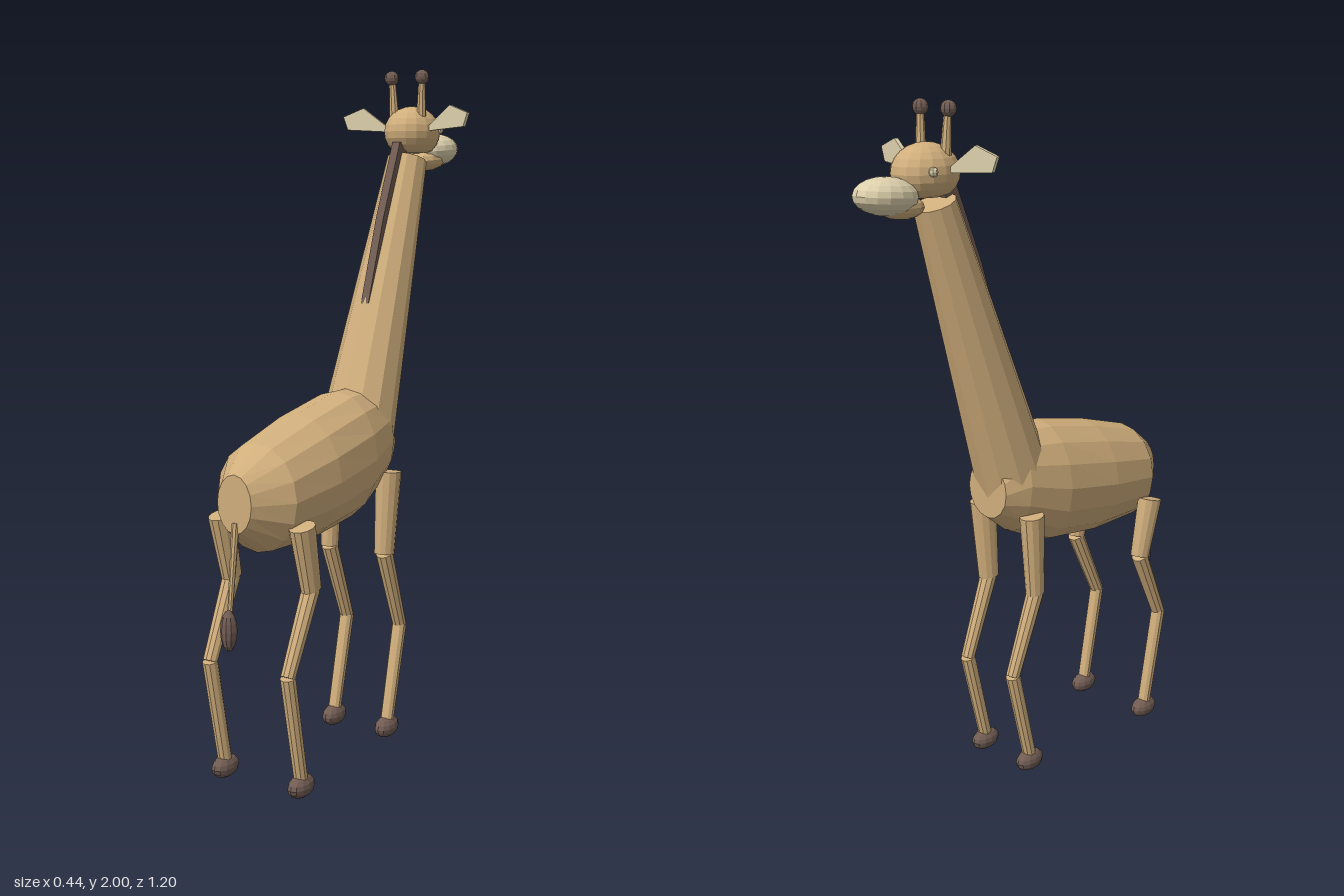
import * as THREE from 'three';

const paint = (name, color) => {
  const m = new THREE.MeshStandardMaterial({ color, flatShading: true });
  m.name = name;
  return m;
};
const V = (x, y, z) => new THREE.Vector3(x, y, z);

export function createModel() {
  const model = new THREE.Group();
  model.name = 'giraffe';
  const tan = paint('tan coat', 0xd0ae7c);
  const cream = paint('cream', 0xddd0ac);
  const dark = paint('dark brown', 0x715c53);

  const add = (parent, name, geometry, material) => {
    const mesh = new THREE.Mesh(geometry, material);
    mesh.name = name;
    parent.add(mesh);
    return mesh;
  };

  // Tapered round bar from a to b
  const bar = (parent, name, a, b, ra, rb, material, sides = 10, squash = 1) => {
    const dir = b.clone().sub(a);
    const geo = new THREE.CylinderGeometry(rb, ra, dir.length(), sides);
    geo.scale(squash, 1, 1);
    const mesh = add(parent, name, geo, material);
    mesh.position.copy(a).add(b).multiplyScalar(0.5);
    mesh.quaternion.setFromUnitVectors(V(0, 1, 0), dir.normalize());
    return mesh;
  };

  const ellipsoid = (parent, name, p, rx, ry, rz, material, w = 16, h = 10) => {
    const mesh = add(parent, name, new THREE.SphereGeometry(1, w, h).scale(rx, ry, rz), material);
    mesh.position.copy(p);
    return mesh;
  };

  // Torso rings, rump to chest: z, bottom y, top y, half width
  const rings = [
    [0.55, 0.74, 0.9, 0.056],
    [0.45, 0.67, 0.97, 0.132],
    [0.26, 0.668, 1.025, 0.15],
    [0.06, 0.69, 1.067, 0.142],
    [-0.08, 0.755, 1.07, 0.112],
    [-0.15, 0.81, 0.98, 0.075],
  ];
  const torso = new THREE.CylinderGeometry(1, 1, 1, 16, rings.length - 1);
  const tp = torso.attributes.position;
  for (let i = 0; i < tp.count; i++) {
    const [z, lo, hi, w] = rings[Math.round((0.5 - tp.getY(i)) * (rings.length - 1))];
    tp.setXYZ(i, tp.getX(i) * w, (lo + hi) / 2 - tp.getZ(i) * (hi - lo) / 2, z);
  }
  torso.computeVertexNormals();
  add(model, 'torso', torso, tan);

  // Neck
  bar(model, 'neck', V(0, 0.87, -0.03), V(0, 1.735, -0.338), 0.115, 0.06, tan, 12);

  // Mane: thin blade along the back of the neck
  const blade = new THREE.Shape([
    [-0.094, 1.31], [-0.178, 1.56], [-0.272, 1.785], [-0.32, 1.78], [-0.14, 1.31],
  ].map(([z, y]) => new THREE.Vector2(z, y)));
  const mane = new THREE.ExtrudeGeometry(blade, { depth: 0.026, bevelEnabled: false });
  mane.translate(0, 0, -0.013).rotateY(-Math.PI / 2);
  add(model, 'mane', mane, dark);

  // Head with a flattened underside
  const skull = new THREE.SphereGeometry(1, 16, 12).scale(0.08, 0.078, 0.102);
  const sp = skull.attributes.position;
  for (let i = 0; i < sp.count; i++) sp.setY(i, Math.max(sp.getY(i), -0.062));
  skull.computeVertexNormals();
  add(model, 'head', skull, tan).position.set(0, 1.817, -0.368);
  ellipsoid(model, 'muzzle', V(0, 1.767, -0.505), 0.067, 0.05, 0.098, cream).rotation.x = 0.08;
  ellipsoid(model, 'jaw', V(0, 1.737, -0.46), 0.05, 0.034, 0.075, tan, 12, 8).rotation.x = 0.1;

  // Tail and tuft
  bar(model, 'tail', V(0, 0.77, 0.545), V(0, 0.52, 0.575), 0.011, 0.007, tan, 8);
  ellipsoid(model, 'tailTuft', V(0, 0.485, 0.58), 0.023, 0.057, 0.023, dark, 10, 8);

  // Leg joints from top to bottom: y, z
  const legs = {
    front: { x: [0.1, 0.097, 0.095, 0.095], path: [[0.82, -0.07], [0.575, -0.052], [0.335, -0.145], [0.045, -0.073]] },
    hind: { x: [0.135, 0.134, 0.131, 0.13], path: [[0.755, 0.432], [0.575, 0.39], [0.355, 0.496], [0.045, 0.435]] },
  };
  const ear = new THREE.Shape([
    [0, -0.008], [0, 0.008], [0.078, 0.065], [0.145, 0.04], [0.13, 0],
  ].map(([x, y]) => new THREE.Vector2(x, y)));

  // Paired parts, mirrored across x
  for (const [sideName, sign] of [['left', 1], ['right', -1]]) {
    const side = new THREE.Group();
    side.name = sideName + 'Side';
    side.scale.x = sign;
    model.add(side);

    for (const [kind, { x, path }] of Object.entries(legs)) {
      const j = path.map(([y, z], i) => V(x[i], y, z));
      bar(side, kind + 'Thigh', j[0], j[1], 0.041, 0.032, tan, 12, 0.85);
      bar(side, kind + 'Shin', j[1], j[2], 0.026, 0.021, tan);
      bar(side, kind + 'Cannon', j[2], j[3], 0.022, 0.02, tan);
      ellipsoid(side, kind + 'Hoof', V(x[3], 0.032, j[3].z), 0.03, 0.032, 0.051, dark, 12, 8);
    }

    bar(side, 'horn', V(0.047, 1.86, -0.34), V(0.052, 1.975, -0.334), 0.015, 0.01, tan, 8);
    ellipsoid(side, 'hornTip', V(0.053, 1.978, -0.333), 0.022, 0.022, 0.022, dark, 10, 8);
    ellipsoid(side, 'eye', V(0.073, 1.825, -0.408), 0.013, 0.013, 0.013, cream, 8, 6);

    const earGeo = new THREE.ExtrudeGeometry(ear, { depth: 0.012, bevelEnabled: false });
    const earMesh = add(side, 'ear', earGeo.translate(0, 0, -0.006), cream);
    earMesh.position.set(0.075, 1.827, -0.345);
    earMesh.rotation.y = -0.17;
  }
  return model;
}
